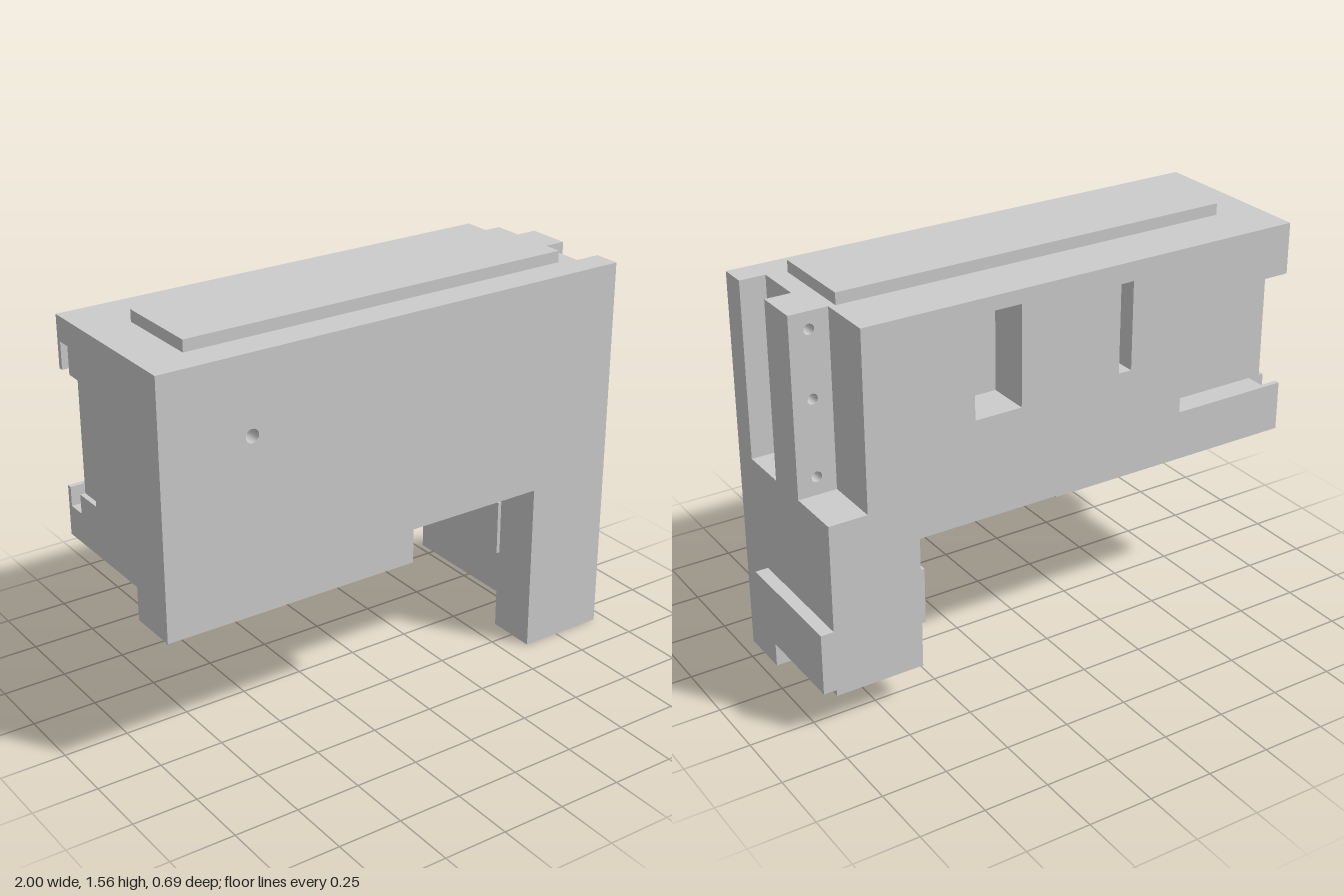
import * as THREE from 'three';

const material = new THREE.MeshStandardMaterial({ color: 0xcccccc });
const inner = new THREE.MeshStandardMaterial({ color: 0xcccccc, side: THREE.DoubleSide });

// Boxes are written [x0, x1, y0, y1, z0, z1].
const solids = [
  [-1, 0.03, 0.67, 1.515, -0.345, 0.345],     // long arm
  [0.03, 0.95, 0.675, 1.515, -0.345, 0.345],  // arm above the gap
  [-1, 0.03, 0.54, 0.67, 0.145, 0.345],       // skirt under the arm
  [0.6, 0.95, 0.15, 0.675, -0.345, 0.345],    // leg
  [0.6, 0.95, 0, 0.15, 0.145, 0.345],         // foot
];
const cuts = [
  [0.85, 0.95, 0.83, 1.515, 0.045, 0.24],     // end channel
  [0.8, 0.95, 0.83, 1.515, -0.345, -0.125],   // corner notch
  [0.18, 0.37, 1.07, 1.46, -0.345, -0.175],   // wide window
  [-0.29, -0.236, 1.095, 1.44, -0.345, -0.2], // narrow window
  [-1, -0.52, 0.865, 1.315, -0.345, -0.25],   // side recess
  [-1, -0.98, 0.865, 1.315, -0.345, -0.13],   // its return round the end
  [-1, -0.93, 1.315, 1.42, -0.325, -0.27],    // small upper notch
  [-1, -0.93, 0.79, 0.865, -0.325, -0.25],    // small lower notch
  [0.16, 0.5, 0.675, 0.775, -0.08, 0.2],      // pocket in the underside
];

// Round holes: x, y, surface z, outward z direction, radius, depth.
const HALF = 0.035;
const holes = [
  [-0.645, 1.218, 0.345, 1, 0.026, 0.1],
  ...[1.45, 1.195, 0.9].map((y) => [0.875, y, -0.125, -1, 0.02, 0.08]),
];
for (const [x, y, z, dir, , depth] of holes) {
  const zs = [z, z - dir * depth].sort((a, b) => a - b);
  cuts.push([x - HALF, x + HALF, y - HALF, y + HALF, ...zs]);
}

// Outer skin of (solids minus cuts), found on the grid of all their planes.
function carve(solidList, cutList) {
  const all = [...solidList, ...cutList];
  const planes = [0, 1, 2].map((a) =>
    [...new Set(all.flatMap((b) => [b[2 * a], b[2 * a + 1]]))].sort((p, q) => p - q));
  const inside = (p) => (b) =>
    [0, 1, 2].every((a) => p[a] > b[2 * a] && p[a] < b[2 * a + 1]);
  const filled = (cell) => {
    if (cell.some((c, a) => c < 0 || c >= planes[a].length - 1)) return false;
    const p = cell.map((c, a) => (planes[a][c] + planes[a][c + 1]) / 2);
    return solidList.some(inside(p)) && !cutList.some(inside(p));
  };
  const positions = [];
  const addFace = (cell, a, dir) => {
    const u = (a + 1) % 3, v = (a + 2) % 3;
    const corners = [[0, 0], [1, 0], [1, 1], [0, 1]].map(([i, j]) => {
      const p = [0, 0, 0];
      p[a] = planes[a][cell[a] + (dir > 0 ? 1 : 0)];
      p[u] = planes[u][cell[u] + i];
      p[v] = planes[v][cell[v] + j];
      return p;
    });
    if (dir < 0) corners.reverse();
    for (const k of [0, 1, 2, 0, 2, 3]) positions.push(...corners[k]);
  };
  for (let i = 0; i < planes[0].length - 1; i++)
    for (let j = 0; j < planes[1].length - 1; j++)
      for (let k = 0; k < planes[2].length - 1; k++) {
        const cell = [i, j, k];
        if (!filled(cell)) continue;
        for (let a = 0; a < 3; a++)
          for (const dir of [-1, 1]) {
            const next = [...cell];
            next[a] += dir;
            if (!filled(next)) addFace(cell, a, dir);
          }
      }
  const geometry = new THREE.BufferGeometry();
  geometry.setAttribute('position', new THREE.Float32BufferAttribute(positions, 3));
  geometry.computeVertexNormals();
  return geometry;
}

function box(name, [x0, x1, y0, y1, z0, z1]) {
  const mesh = new THREE.Mesh(new THREE.BoxGeometry(x1 - x0, y1 - y0, z1 - z0), material);
  mesh.position.set((x0 + x1) / 2, (y0 + y1) / 2, (z0 + z1) / 2);
  mesh.name = name;
  return mesh;
}

// Square collar with a round opening, and the bore behind it.
function roundHole([x, y, z, dir, radius, depth]) {
  const group = new THREE.Group();
  group.name = 'roundHole';
  const shape = new THREE.Shape([[-1, -1], [1, -1], [1, 1], [-1, 1]]
    .map(([i, j]) => new THREE.Vector2(i * HALF, j * HALF)));
  shape.holes.push(new THREE.Path().absarc(0, 0, radius, 0, Math.PI * 2, true));
  const collar = new THREE.Mesh(new THREE.ShapeGeometry(shape, 24), material);
  collar.name = 'holeCollar';
  const bore = new THREE.Mesh(
    new THREE.CylinderGeometry(radius, radius, depth, 24, 1, true).rotateX(Math.PI / 2), inner);
  bore.position.z = -depth / 2;
  bore.name = 'holeBore';
  group.add(collar, bore);
  group.position.set(x, y, z);
  if (dir < 0) group.rotation.y = Math.PI;
  return group;
}

export function createModel() {
  const model = new THREE.Group();
  model.name = 'housing';

  const body = new THREE.Mesh(carve(solids, cuts), material);
  body.name = 'body';
  model.add(body);

  model.add(
    box('topPlate', [-0.825, 0.775, 1.515, 1.56, -0.13, 0.22]),
    box('outerLegPlate', [0.95, 1, 0.175, 0.415, -0.345, 0.165]),
    box('innerLegPlate', [0.585, 0.6, 0.33, 0.55, -0.345, 0.155]),
  );
  for (const hole of holes) model.add(roundHole(hole));
  return model;
}
